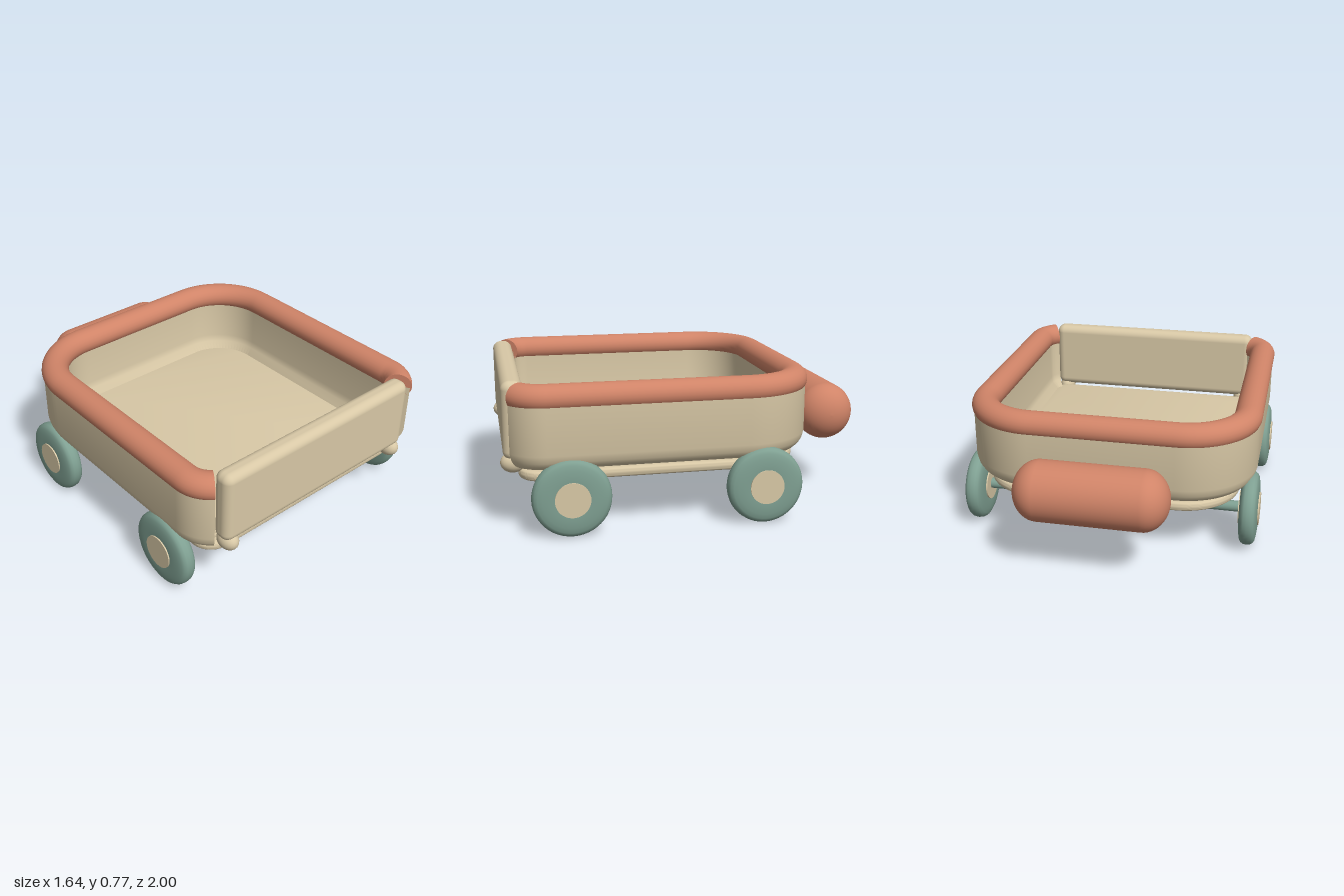
import * as THREE from 'three';
import { toCreasedNormals } from 'three/addons/utils/BufferGeometryUtils.js';
import { RoundedBoxGeometry } from 'three/addons/geometries/RoundedBoxGeometry.js';

// U-shaped path round the tray: points with outward normals, open at the front
function trayPath() {
  const half = [];
  const arc = (cx, cz, r, from, to, n) => {
    for (let i = 0; i <= n; i++) {
      const a = THREE.MathUtils.degToRad(from + (to - from) * i / n);
      const nx = Math.cos(a), nz = Math.sin(a);
      half.push({ x: cx + r * nx, z: cz + r * nz, nx, nz });
    }
  };
  arc(0.575, 0.776, 0.15, 56, 0, 10);
  arc(0.39, -0.255, 0.335, 0, -90, 20);
  const mirrored = half.map(p => ({ ...p, x: -p.x, nx: -p.nx })).reverse();
  return [...half, ...mirrored];
}

// Sweep a closed counter-clockwise profile of [outward offset, height] along the path
function sweep(path, profile) {
  const n = profile.length, pos = [], idx = [];
  for (const p of path)
    for (const [o, y] of profile) pos.push(p.x + p.nx * o, y, p.z + p.nz * o);
  for (let i = 0; i < path.length - 1; i++)
    for (let j = 0; j < n; j++) {
      const a = i * n + j, b = i * n + (j + 1) % n;
      idx.push(a, a + n, b, b, a + n, b + n);
    }
  const last = (path.length - 1) * n;
  const contour = profile.map(([o, y]) => new THREE.Vector2(o, y));
  for (const [a, b, c] of THREE.ShapeUtils.triangulateShape(contour, [])) {
    idx.push(a, b, c, last + a, last + c, last + b);
  }
  const geo = new THREE.BufferGeometry();
  geo.setAttribute('position', new THREE.Float32BufferAttribute(pos, 3));
  geo.setIndex(idx);
  return toCreasedNormals(geo, 0.7);
}

// Flat slab with wide rear corners, small front corners and rounded edges
function slab(hw, zBack, zFront, rBack, rFront, y0, y1, bevel) {
  const w = hw - bevel, t = -zBack - bevel, f = -zFront + bevel;
  const s = new THREE.Shape();
  s.moveTo(-w + rFront, f);
  s.lineTo(w - rFront, f);
  s.absarc(w - rFront, f + rFront, rFront, -Math.PI / 2, 0);
  s.absarc(w - rBack, t - rBack, rBack, 0, Math.PI / 2);
  s.absarc(-w + rBack, t - rBack, rBack, Math.PI / 2, Math.PI);
  s.absarc(-w + rFront, f + rFront, rFront, Math.PI, Math.PI * 1.5);
  const geo = new THREE.ExtrudeGeometry(s, {
    depth: y1 - y0 - 2 * bevel, bevelEnabled: true, bevelThickness: bevel,
    bevelSize: bevel, bevelSegments: 4, curveSegments: 16,
  });
  geo.rotateX(-Math.PI / 2).translate(0, y0 + bevel, 0);
  return toCreasedNormals(geo, 0.7);
}

// Lathe turned so its axis lies along x
function latheX(points, segments = 48) {
  const geo = new THREE.LatheGeometry(points.map(([r, h]) => new THREE.Vector2(r, h)), segments);
  return geo.rotateZ(-Math.PI / 2);
}

export function createModel() {
  const cream = new THREE.MeshStandardMaterial({ color: 0xd8c8a6 });
  cream.name = 'cream';
  const terracotta = new THREE.MeshStandardMaterial({ color: 0xd08468 });
  terracotta.name = 'terracotta';
  const sage = new THREE.MeshStandardMaterial({ color: 0x7fa092 });
  sage.name = 'sage green';

  const model = new THREE.Group();
  model.name = 'wagon';
  const add = (name, geo, mat, x = 0, y = 0, z = 0, parent = model) => {
    const m = new THREE.Mesh(geo, mat);
    m.name = name;
    m.position.set(x, y, z);
    parent.add(m);
    return m;
  };

  // Tray walls with rounded lower edge and inner fillet
  const path = trayPath();
  add('trayWall', sweep(path, [
    [-0.1, 0.35], [0.025, 0.35], [0.042, 0.365], [0.056, 0.388], [0.065, 0.425],
    [0.065, 0.70], [-0.06, 0.70], [-0.06, 0.45], [-0.068, 0.41], [-0.1, 0.372],
  ]), cream);

  // Padded rim on top of the walls
  const ring = [];
  for (let i = 0; i < 24; i++) {
    const a = i / 24 * Math.PI * 2;
    ring.push([0.075 * Math.cos(a), 0.705 + 0.07 * Math.sin(a)]);
  }
  add('rim', sweep(path, ring), terracotta);

  // Floor and stacked underside slabs
  add('floor', slab(0.67, -0.55, 0.875, 0.29, 0.12, 0.33, 0.372, 0.01), cream);
  add('underLip', slab(0.66, -0.56, 0.88, 0.28, 0.1, 0.31, 0.345, 0.012), cream);
  add('basePlate', slab(0.70, -0.59, 0.91, 0.29, 0.1, 0.27, 0.322, 0.02), cream);

  // Front gate with ball hinges
  add('frontGate', new RoundedBoxGeometry(1.29, 0.405, 0.11, 6, 0.045), cream, 0, 0.5725, 0.93);
  for (const side of [-1, 1]) {
    const ball = add('gateHinge', new THREE.SphereGeometry(1, 24, 16), cream, side * 0.593, 0.353, 0.935);
    ball.scale.set(0.049, 0.053, 0.065);
  }

  // Push handle and its neck at the back
  const grip = [];
  for (let i = 0; i <= 12; i++) {
    const a = i / 12 * Math.PI / 2;
    grip.push([0.16 * Math.sin(a), -0.27 - 0.135 * Math.cos(a)]);
  }
  const gripFull = [...grip, ...grip.map(([r, h]) => [r, -h]).reverse()];
  add('handleGrip', latheX(gripFull), terracotta, 0, 0.455, -0.842);
  add('handleNeck', new RoundedBoxGeometry(0.55, 0.16, 0.18, 4, 0.03), terracotta, 0, 0.455, -0.69);

  // Wheels, hubs and axles
  const tyreHalf = [[0, -0.045], [0.09, -0.049], [0.12, -0.049], [0.15, -0.046],
    [0.175, -0.041], [0.19, -0.033], [0.199, -0.02], [0.202, 0]];
  const tyre = latheX([...tyreHalf, ...tyreHalf.slice(0, -1).map(([r, h]) => [r, -h]).reverse()]);
  const hub = new THREE.CylinderGeometry(0.09, 0.09, 0.112, 40).rotateZ(Math.PI / 2);
  const axle = new THREE.CylinderGeometry(0.03, 0.03, 1.44, 24).rotateZ(Math.PI / 2);
  for (const [label, z] of [['front', 0.66], ['rear', -0.34]]) {
    add(label + 'Axle', axle, sage, 0, 0.205, z);
    for (const side of [-1, 1]) {
      const wheel = new THREE.Group();
      wheel.name = label + (side > 0 ? 'Left' : 'Right') + 'Wheel';
      wheel.position.set(side * 0.763, 0.203, z);
      add('tyre', tyre, sage, 0, 0, 0, wheel);
      add('hub', hub, cream, 0, 0, 0, wheel);
      model.add(wheel);
    }
  }
  return model;
}
